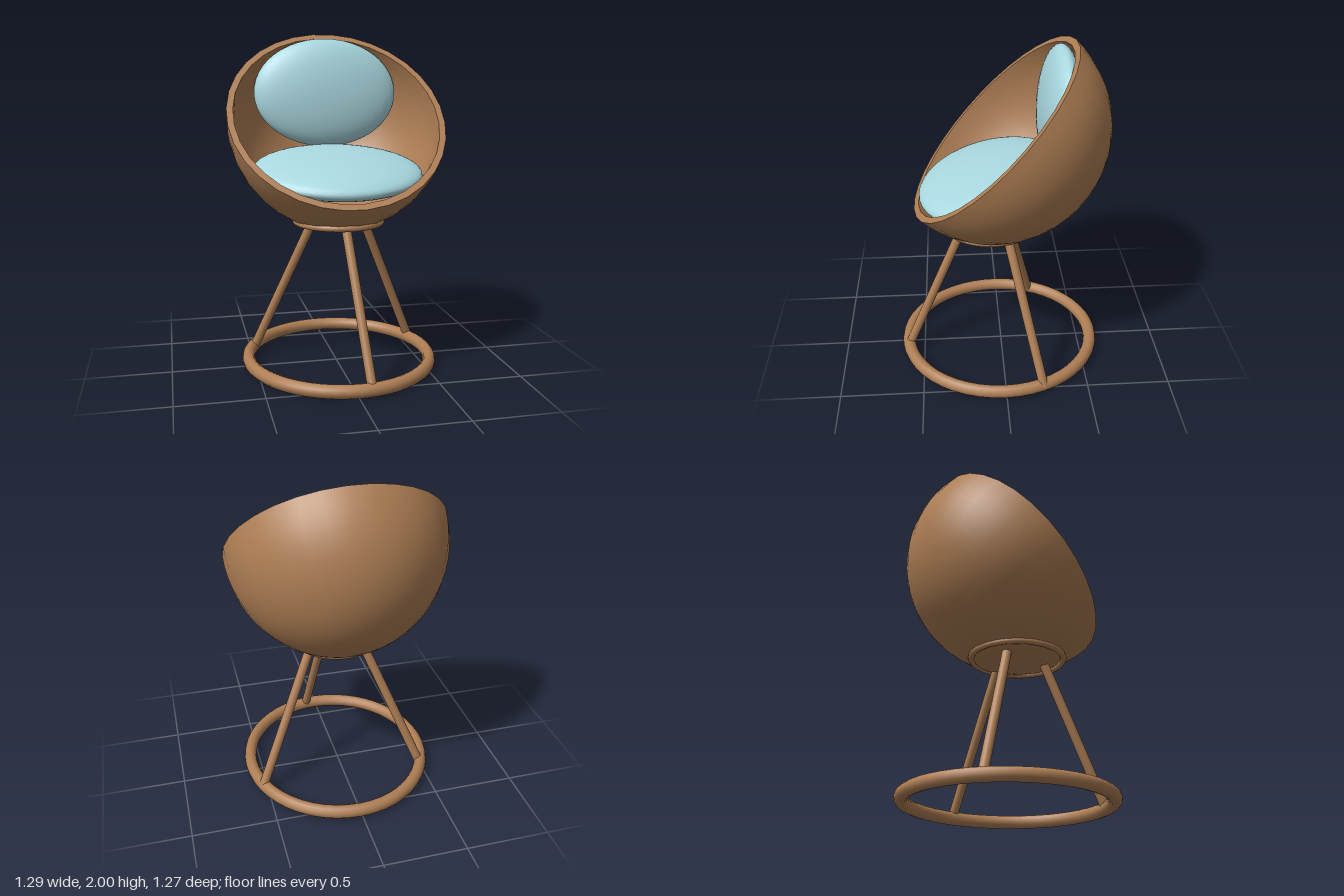
import * as THREE from 'three';

export function createModel() {
  const model = new THREE.Group();
  const wood = new THREE.MeshStandardMaterial({ color: 0xae7e54 });
  wood.name = 'brown rattan';
  const fabric = new THREE.MeshStandardMaterial({ color: 0xa9d7df });
  fabric.name = 'pale blue fabric';

  const add = (parent, name, geometry, material) => {
    const mesh = new THREE.Mesh(geometry, material);
    mesh.name = name;
    parent.add(mesh);
    return mesh;
  };

  // Bowl shell: outer wall, flat rim and inner wall, tilted to open forward and up
  const SEG = 32, OUTER = 0.676, INNER = 0.636;
  const arc = (r) => Array.from({ length: 17 }, (_, i) => {
    const a = (i / 16) * Math.PI / 2;
    return new THREE.Vector2(r * Math.sin(a), -r * Math.cos(a));
  });
  const lathe = (points) => new THREE.LatheGeometry(points, SEG, Math.PI / SEG);
  const shell = new THREE.Group();
  shell.name = 'bowlShell';
  add(shell, 'shellOutside', lathe(arc(OUTER)), wood);
  add(shell, 'shellRim', lathe([new THREE.Vector2(OUTER, 0), new THREE.Vector2(INNER, 0)]), wood);
  add(shell, 'shellInside', lathe(arc(INNER).reverse()), wood);
  shell.scale.x = 0.96;
  shell.rotation.x = 0.8;
  shell.position.set(0, 1.515, 0.048);
  model.add(shell);

  // Cushions: flattened balls
  const cushion = (name, size, position, tilt) => {
    const mesh = add(model, name, new THREE.SphereGeometry(1, 40, 24), fabric);
    mesh.scale.set(...size);
    mesh.position.set(...position);
    mesh.rotation.x = tilt;
  };
  cushion('seatCushion', [0.507, 0.1, 0.45], [0, 1.187, 0.045], 0.2);
  cushion('backCushion', [0.45, 0.335, 0.11], [0, 1.637, -0.322], -0.1);

  // Rings: small one under the bowl, large one on the floor
  const ring = (name, rx, rz, tube, position) => {
    const geometry = new THREE.TorusGeometry(rz, tube, 12, 48);
    geometry.rotateX(Math.PI / 2);
    const mesh = add(model, name, geometry, wood);
    mesh.scale.x = rx / rz;
    mesh.position.set(...position);
  };
  ring('supportRing', 0.257, 0.276, 0.019, [0, 0.895, 0.062]);
  ring('baseRing', 0.553, 0.591, 0.04, [0.012, 0.04, 0.01]);

  // Three splayed legs from the floor ring to the bowl
  const legs = [
    ['frontLeg', [0.078, 0.04, 0.595], [0.008, 0.9, 0.218]],
    ['leftLeg', [0.533, 0.04, -0.226], [0.165, 0.9, -0.025]],
    ['rightLeg', [-0.484, 0.04, -0.226], [-0.13, 0.9, -0.025]],
  ];
  for (const [name, foot, top] of legs) {
    const a = new THREE.Vector3(...foot), b = new THREE.Vector3(...top);
    const leg = add(model, name, new THREE.CylinderGeometry(0.028, 0.028, a.distanceTo(b), 16), wood);
    leg.position.copy(a).lerp(b, 0.5);
    leg.quaternion.setFromUnitVectors(new THREE.Vector3(0, 1, 0), b.sub(a).normalize());
  }
  return model;
}
